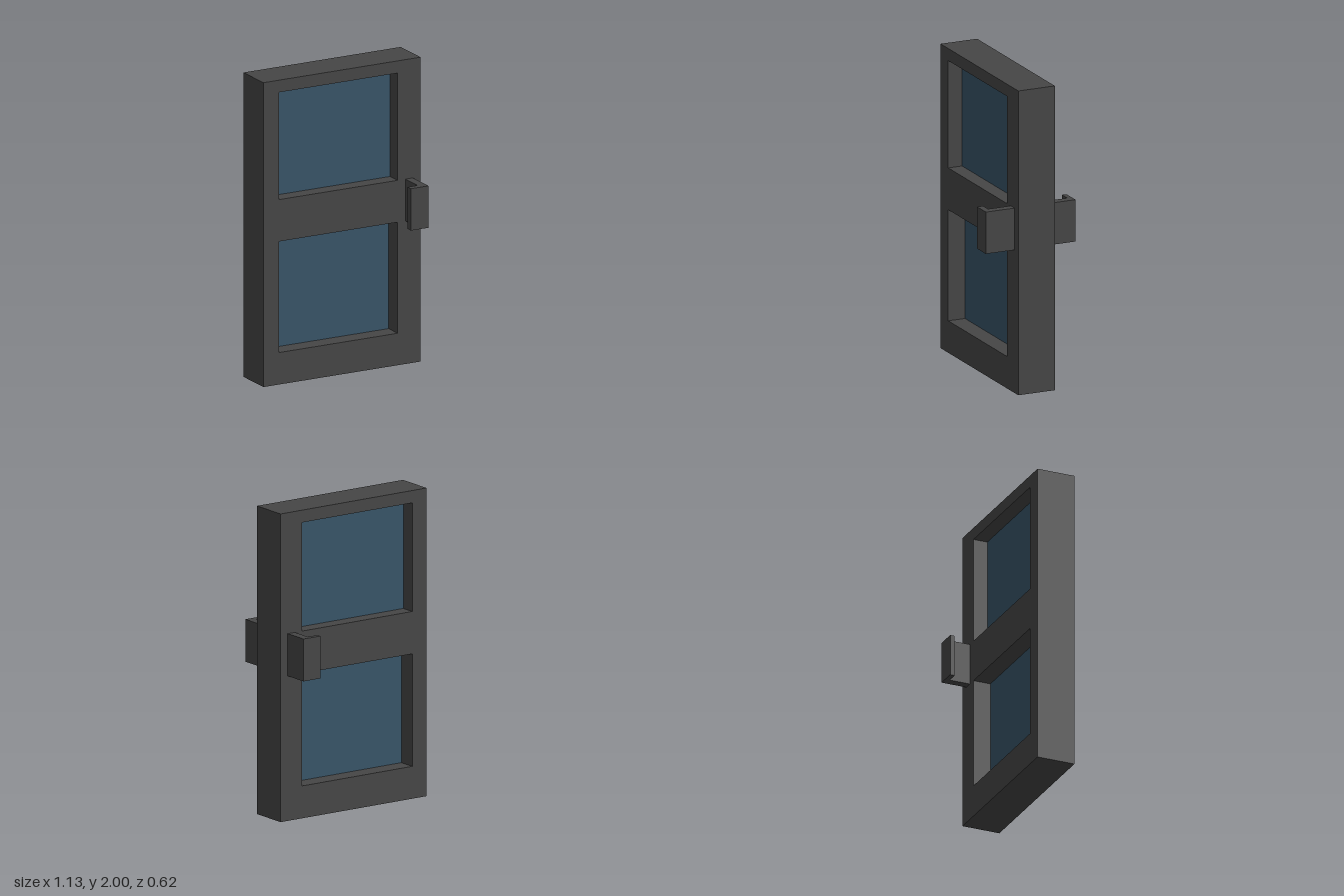
import * as THREE from 'three';

const frameMaterial = new THREE.MeshStandardMaterial({ color: 0x464646 });
frameMaterial.name = 'dark grey frame';
const glassMaterial = new THREE.MeshStandardMaterial({ color: 0x385468 });
glassMaterial.name = 'blue glass';

// Rectangle outline, used for both the slab and its openings
function rectangle(PathType, x0, x1, y0, y1) {
  return new PathType([[x0, y0], [x1, y0], [x1, y1], [x0, y1]].map(([x, y]) => new THREE.Vector2(x, y)));
}

function extrude(name, shape, depth, material) {
  const mesh = new THREE.Mesh(new THREE.ExtrudeGeometry(shape, { depth, bevelEnabled: false }), material);
  mesh.name = name;
  return mesh;
}

// L-shaped pull, drawn from above: x against distance out from the door
function makeHandle(name, inner, reach, lip) {
  const outline = [[0.457, 0], [0.512, 0], [0.512, reach], [inner, reach], [inner, reach - lip], [0.457, reach - lip]];
  const shape = new THREE.Shape(outline.map(([x, d]) => new THREE.Vector2(x, d)));
  const handle = extrude(name, shape, 0.275, frameMaterial);
  handle.geometry.rotateX(-Math.PI / 2);
  return handle;
}

export function createModel() {
  const door = new THREE.Group();
  door.name = 'door';
  const left = -0.455, right = 0.402, back = -0.143, front = 0.112;
  const panes = [
    { name: 'upperGlass', y0: 1.215, y1: 1.92, z0: -0.047, z1: 0.015 },
    { name: 'lowerGlass', y0: 0.21, y1: 0.94, z0: -0.026, z1: -0.005 },
  ];

  // Door slab with two window openings
  const slab = rectangle(THREE.Shape, -0.567, 0.567, 0, 2);
  for (const p of panes) slab.holes.push(rectangle(THREE.Path, left, right, p.y0, p.y1));
  const frame = extrude('frame', slab, front - back, frameMaterial);
  frame.position.z = back;
  door.add(frame);

  // Recessed glass panes
  for (const p of panes) {
    const glass = new THREE.Mesh(new THREE.BoxGeometry(right - left, p.y1 - p.y0, p.z1 - p.z0), glassMaterial);
    glass.position.set((left + right) / 2, (p.y0 + p.y1) / 2, (p.z0 + p.z1) / 2);
    glass.name = p.name;
    door.add(glass);
  }

  // Back handle extends towards -z as extruded
  const backHandle = makeHandle('backHandle', 0.381, 0.17, 0.031);
  backHandle.position.set(0, 0.94, back);
  door.add(backHandle);

  // Front handle is turned over to extend towards +z
  const frontHandle = makeHandle('frontHandle', 0.385, 0.2, 0.042);
  frontHandle.geometry.rotateX(Math.PI);
  frontHandle.position.set(0, 1.215, front);
  door.add(frontHandle);

  return door;
}
